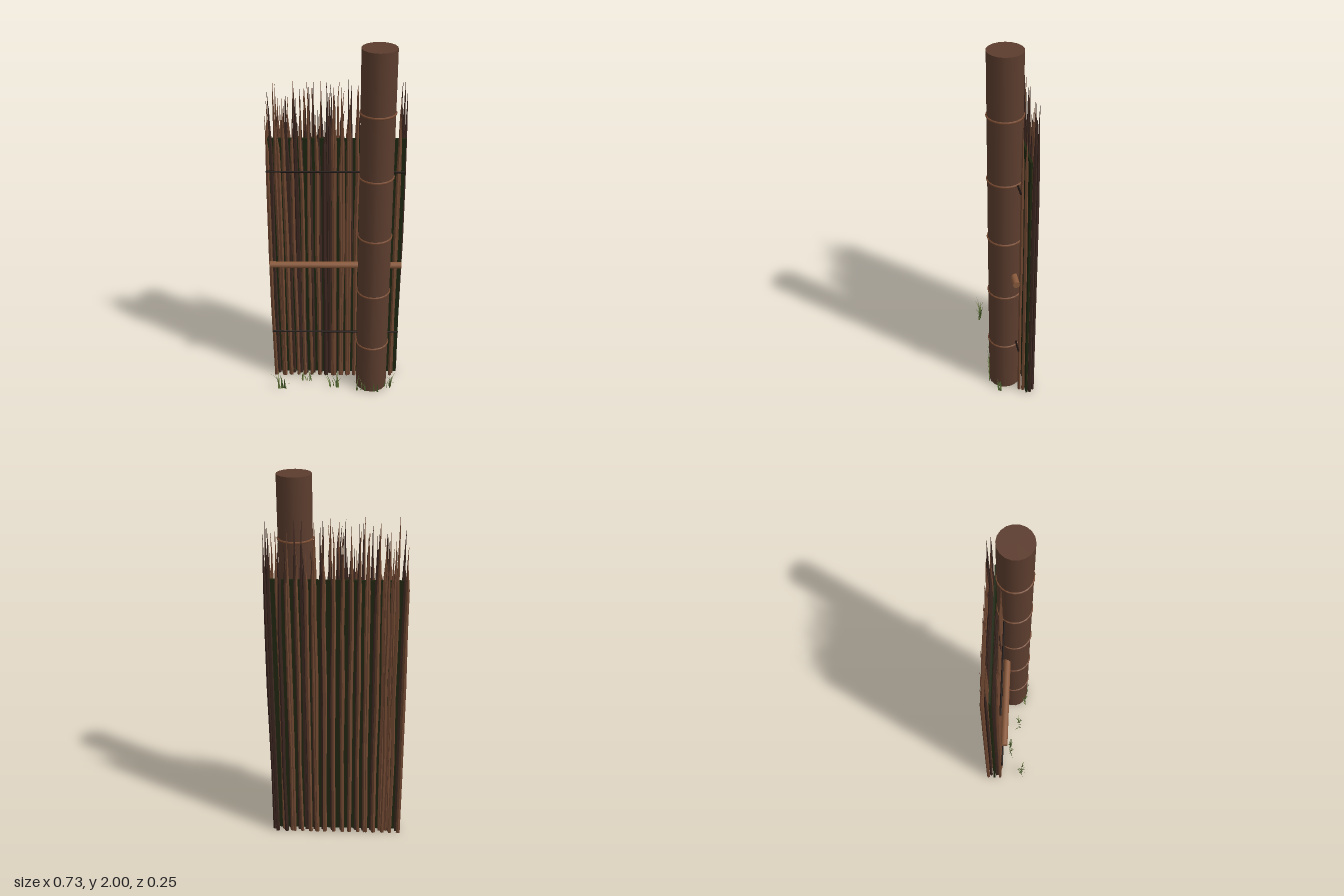
import * as THREE from 'three';
import { mergeGeometries } from 'three/addons/utils/BufferGeometryUtils.js';

const mat = (name, color, extra = {}) => {
  const m = new THREE.MeshStandardMaterial({ color, ...extra });
  m.name = name;
  return m;
};

// small seeded generator for natural variation
function makeRandom(seed) {
  return () => {
    seed = (seed * 16807) % 2147483647;
    return seed / 2147483647;
  };
}

// a slightly crooked five-sided stalk ending in a thin spike
function reedGeometry(x, z, rnd) {
  const top = 1.6 + rnd() * 0.21;
  const levels = [0, 0.35 + rnd() * 0.2, 0.8 + rnd() * 0.2, 1.2 + rnd() * 0.15, 1.44 + rnd() * 0.06, top - 0.09, top];
  const r = 0.0085 + rnd() * 0.002;
  const radii = [r, r * 0.95, r * 1.05, r * 0.95, r * 0.85, r * 0.28, r * 0.08];
  const shift = levels.map(() => [(rnd() - 0.5) * 0.008, (rnd() - 0.5) * 0.003]);
  const g = new THREE.CylinderGeometry(1, 1, 1, 5, 6);
  g.rotateY(rnd() * 6);
  const p = g.attributes.position;
  for (let i = 0; i < p.count; i++) {
    const k = Math.round((p.getY(i) + 0.5) * 6);
    p.setXYZ(i, x + shift[k][0] + p.getX(i) * radii[k] * 1.15, levels[k], z + shift[k][1] + p.getZ(i) * radii[k]);
  }
  return g;
}

// a bent, tapering blade of grass
function bladeGeometry(x, z, angle, height, reach, width) {
  const pos = [], idx = [];
  const dx = Math.cos(angle), dz = Math.sin(angle);
  for (let k = 0; k <= 3; k++) {
    const t = k / 3, out = reach * t * t, w = (width / 2) * (1 - t * 0.95);
    const y = height * (t * 1.25 - t * t * 0.25);
    pos.push(x + dx * out - dz * w, y, z + dz * out + dx * w);
    pos.push(x + dx * out + dz * w, y, z + dz * out - dx * w);
    if (k) idx.push(2 * k - 2, 2 * k - 1, 2 * k, 2 * k - 1, 2 * k + 1, 2 * k);
  }
  const g = new THREE.BufferGeometry();
  g.setAttribute('position', new THREE.Float32BufferAttribute(pos, 3));
  g.setIndex(idx);
  g.computeVertexNormals();
  return g;
}

export function createModel() {
  const model = new THREE.Group();
  model.name = 'reedFencePanel';
  const rnd = makeRandom(4217);

  const postWood = mat('post brown', 0x5c3d2e);
  const nodeWood = mat('node brown', 0x7a4c32);
  const barWood = mat('rail brown', 0x8a5a3c);
  const reedLight = mat('light reed', 0x6e4630, { flatShading: true });
  const reedDark = mat('dark reed', 0x3c2720, { flatShading: true });
  const sheetGreen = mat('backing dark green', 0x1e260f);
  const cord = mat('cord', 0x1e1512);
  const grassLight = mat('grass light', 0x66783c, { side: THREE.DoubleSide, flatShading: true });
  const grassDark = mat('grass dark', 0x46582a, { side: THREE.DoubleSide, flatShading: true });

  const add = (name, geometry, material, x = 0, y = 0, z = 0) => {
    const m = new THREE.Mesh(geometry, material);
    m.name = name;
    m.position.set(x, y, z);
    model.add(m);
    return m;
  };

  // post with raised nodes
  const px = 0.213, pz = 0.025;
  add('post', new THREE.CylinderGeometry(0.087, 0.087, 2, 18), postWood, px, 1, pz);
  [0.303, 0.648, 0.992, 1.337, 1.681].forEach((y) => {
    const ring = new THREE.TorusGeometry(0.086, 0.0065, 6, 18).rotateX(Math.PI / 2);
    add('postNode', ring, nodeWood, px, y, pz);
  });

  // backing sheet
  const x0 = -0.348, x1 = 0.362, mid = (x0 + x1) / 2, len = x1 - x0;
  add('backingSheet', new THREE.BoxGeometry(len, 1.5, 0.01), sheetGreen, mid, 0.75, -0.073);

  // cross rail and binding cords
  const rod = (r, sides) => new THREE.CylinderGeometry(r, r, len, sides).rotateZ(Math.PI / 2);
  add('crossRail', rod(0.018, 10), barWood, mid, 0.785, -0.009);
  [0.325, 1.335].forEach((y) => add('bindingCord', rod(0.005, 6), cord, mid, y, -0.024));

  // four rows of reeds; the front rows leave room for the post
  const rows = [
    { z: -0.11, start: -0.337, front: false },
    { z: -0.092, start: -0.327, front: false },
    { z: -0.057, start: -0.329, front: true },
    { z: -0.038, start: -0.339, front: true },
  ];
  const light = [], dark = [];
  rows.forEach(({ z, start, front }, row) => {
    const step = front ? 0.0415 : 0.0448;
    for (let i = 0; i < 17; i++) {
      const x = start + i * step + (rnd() - 0.5) * 0.008;
      if (x > 0.35 || (front && x > 0.118 && x < 0.31)) continue;
      const outer = row === 0 || row === 3;
      const pick = rnd() < (outer ? 0.75 : 0.2) ? light : dark;
      pick.push(reedGeometry(x, z, rnd));
      // slimmer companion stalk thickens most bundles
      if (rnd() < 0.45) pick.push(reedGeometry(x + 0.009, z + 0.001, rnd));
    }
  });
  add('lightReeds', mergeGeometries(light), reedLight);
  add('darkReeds', mergeGeometries(dark), reedDark);

  // grass tufts along the front
  const tufts = [[-0.293, 0.09], [-0.16, 0.022], [0, 0.074], [0.155, 0.1], [0.305, 0.07], [0.225, 0.108]];
  const blades = [[], []];
  tufts.forEach(([tx, tz], n) => {
    const count = n === 5 ? 4 : 9;
    for (let i = 0; i < count; i++) {
      const x = tx + (rnd() - 0.5) * 0.055, z = tz + (rnd() - 0.5) * 0.015;
      const angle = rnd() * Math.PI * 2;
      const reach = (0.012 + rnd() * 0.022) * (n === 5 ? 0.4 : 1);
      blades[i % 2].push(bladeGeometry(x, z, angle, 0.045 + rnd() * 0.065, reach, 0.011));
    }
  });
  // long leaning blades on the left side of the tufts
  [[-0.31, 0.086, 0.055], [-0.19, 0.02, 0.06], [0.15, 0.098, 0.04]].forEach(([x, z, reach]) =>
    blades[1].push(bladeGeometry(x, z, Math.PI - 0.25, 0.115, reach, 0.01)));
  add('lightGrass', mergeGeometries(blades[0]), grassLight);
  add('darkGrass', mergeGeometries(blades[1]), grassDark);

  return model;
}
